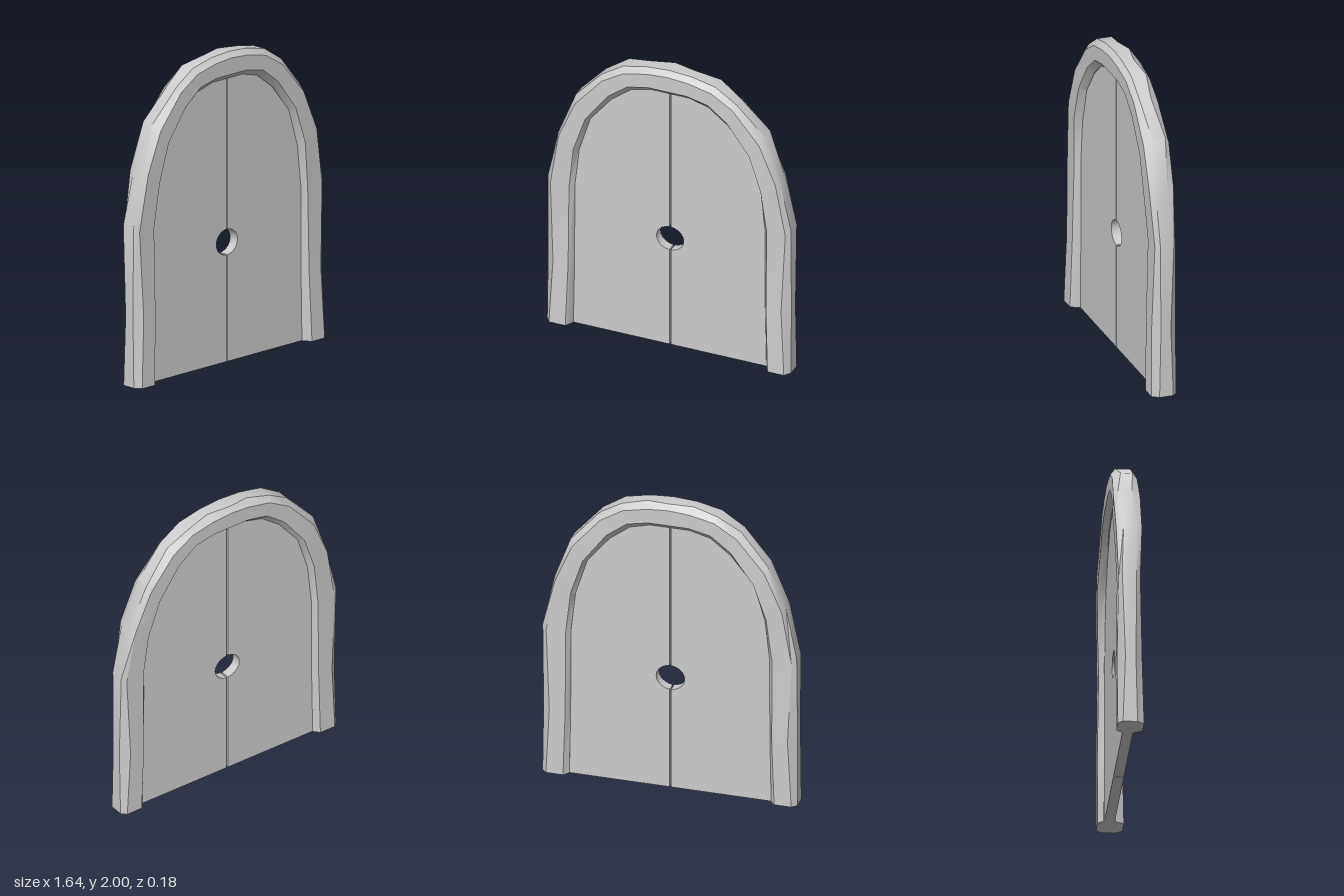
import * as THREE from 'three';
import { toCreasedNormals } from 'three/addons/utils/BufferGeometryUtils.js';

// Half of the arch, from the foot (+x) to the crown. Per station:
// outer x,y | face outer edge x,y | face inner edge x,y | deep inner x,y | z: front, side front, side back, back
const STATIONS = [
  [0.82, 0, 0.79, 0, 0.68, 0, 0.65, 0, 0.088, 0.045, -0.045, -0.075],
  [0.818, 0.45, 0.767, 0.45, 0.665, 0.45, 0.642, 0.45, 0.078, 0.035, -0.03, -0.078],
  [0.818, 1.03, 0.79, 1.0, 0.665, 1.0, 0.64, 1.0, 0.065, 0.04, -0.05, -0.07],
  [0.745, 1.37, 0.73, 1.36, 0.63, 1.29, 0.61, 1.27, 0.08, 0.045, -0.035, -0.08],
  [0.635, 1.66, 0.62, 1.62, 0.55, 1.53, 0.535, 1.51, 0.078, 0.025, -0.06, -0.088],
  [0.455, 1.86, 0.44, 1.83, 0.4, 1.73, 0.39, 1.69, 0.075, 0.045, -0.03, -0.08],
  [0.31, 1.955, 0.295, 1.92, 0.27, 1.83, 0.26, 1.79, 0.075, 0.045, -0.052, -0.08],
  [0.15, 1.99, 0.135, 1.955, 0.13, 1.86, 0.13, 1.825, 0.075, 0.045, -0.03, -0.08],
  [0, 2, 0, 1.965, 0, 1.86, 0, 1.825, 0.075, 0.045, -0.055, -0.08],
];
const PANEL_FRONT = 0.03, PANEL_BACK = -0.035;

// Eight-sided section of the frame at one station
function section(s, side) {
  const [ox, oy, fx, fy, ix, iy, dx, dy, zf, zsf, zsb, zb] = s;
  return [
    [ix, iy, zf], [fx, fy, zf], [ox, oy, zsf], [ox, oy, zsb],
    [fx, fy, zb], [ix, iy, zb], [dx, dy, PANEL_BACK - 0.005], [dx, dy, PANEL_FRONT + 0.005],
  ].map(([x, y, z]) => [x * side, y, z]);
}

function frameGeometry() {
  const rings = STATIONS.map((s) => section(s, 1));
  for (let i = STATIONS.length - 2; i >= 0; i--) rings.push(section(STATIONS[i], -1));
  const n = 8, last = (rings.length - 1) * n, index = [];
  for (let i = 0; i < rings.length - 1; i++) {
    for (let j = 0; j < n; j++) {
      const a = i * n + j, b = i * n + (j + 1) % n;
      index.push(a, b, b + n, a, b + n, a + n);
    }
  }
  // Feet
  for (let j = 1; j < n - 1; j++) index.push(0, j + 1, j, last, last + j, last + j + 1);
  const g = new THREE.BufferGeometry();
  g.setAttribute('position', new THREE.Float32BufferAttribute(rings.flat(2), 3));
  g.setIndex(index);
  return toCreasedNormals(g, 0.55);
}

// One half of the panel, with half of the round hole cut in its straight edge
function panelGeometry(side) {
  const gap = 0.005, pts = [[gap, 0]];
  for (let k = 0; k <= 10; k++) {
    const a = -Math.PI / 2 + (k / 10) * Math.PI;
    pts.push([Math.max(gap, 0.092 * Math.cos(a)), 0.77 + 0.083 * Math.sin(a)]);
  }
  pts.push([gap, 1.845]);
  // Curved rim tucked inside the frame
  for (let i = STATIONS.length - 2; i >= 0; i--) {
    const s = STATIONS[i];
    pts.push([(s[4] + s[6]) / 2, (s[5] + s[7]) / 2]);
  }
  const shape = new THREE.Shape(pts.map(([x, y]) => new THREE.Vector2(x * side, y)));
  const g = new THREE.ExtrudeGeometry(shape, { depth: PANEL_FRONT - PANEL_BACK, bevelEnabled: false });
  g.translate(0, 0, PANEL_BACK);
  return toCreasedNormals(g, 0.55);
}

export function createModel() {
  const model = new THREE.Group();
  model.name = 'archedDoor';
  const material = new THREE.MeshStandardMaterial({ color: 0xcccccc });
  const add = (name, geometry) => {
    const mesh = new THREE.Mesh(geometry, material);
    mesh.name = name;
    model.add(mesh);
  };
  add('archFrame', frameGeometry());
  add('leftPanel', panelGeometry(1));
  add('rightPanel', panelGeometry(-1));
  return model;
}
